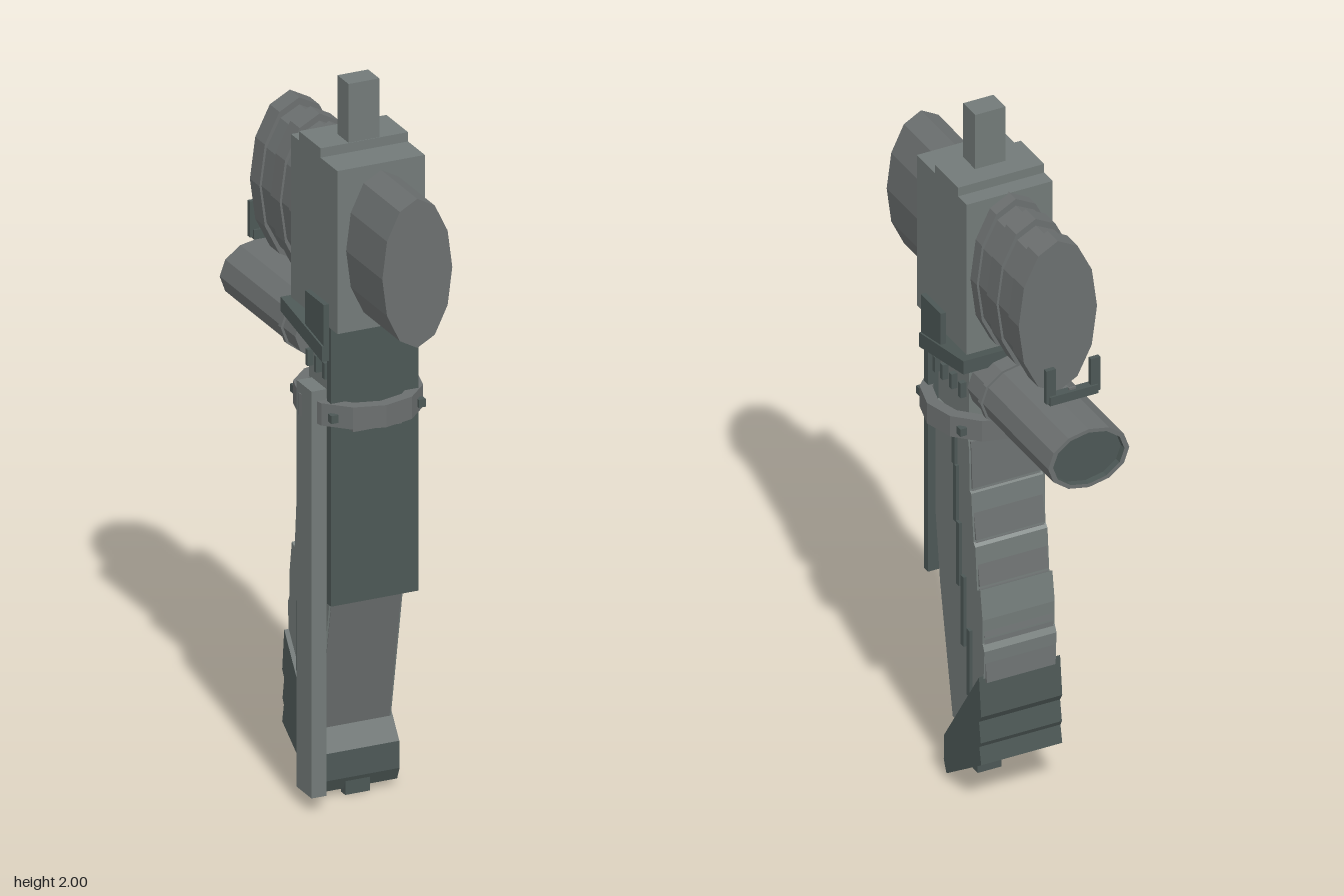
import * as THREE from 'three';

const light = new THREE.MeshStandardMaterial({ color: 0x727a78 });
light.name = 'light grey';
const grey = new THREE.MeshStandardMaterial({ color: 0x6b6f6f });
grey.name = 'mid grey';
const dark = new THREE.MeshStandardMaterial({ color: 0x4c5755 });
dark.name = 'dark green grey';

export function createModel() {
  const root = new THREE.Group();
  root.name = 'device';

  // Faceted mesh
  const add = (name, geometry, material) => {
    const g = geometry.index ? geometry.toNonIndexed() : geometry;
    g.computeVertexNormals();
    const mesh = new THREE.Mesh(g, material);
    mesh.name = name;
    root.add(mesh);
    return mesh;
  };
  // Box from its limits on each axis
  const box = (name, [x0, x1], [y0, y1], [z0, z1], material) =>
    add(name, new THREE.BoxGeometry(x1 - x0, y1 - y0, z1 - z0)
      .translate((x0 + x1) / 2, (y0 + y1) / 2, (z0 + z1) / 2), material);
  // Twelve-sided elliptical drum along z
  const drum = (name, rx, ry, y, z0, z1, material) =>
    add(name, new THREE.CylinderGeometry(1, 1, z1 - z0, 12).rotateX(Math.PI / 2)
      .scale(rx, ry, 1).translate(0, y, (z0 + z1) / 2), material);
  // Side profile of (z, y) points, extruded across x
  const profile = (name, points, halfWidth, material) => {
    const shape = new THREE.Shape(points.map(([z, y]) => new THREE.Vector2(z, y)));
    return add(name, new THREE.ExtrudeGeometry(shape, { depth: 2 * halfWidth, bevelEnabled: false })
      .translate(0, 0, -halfWidth).rotateY(-Math.PI / 2), material);
  };

  // Head: block, lid and top post
  box('headBlock', [-0.125, 0.125], [1.355, 1.81], [-0.025, 0.25], light);
  box('headLid', [-0.125, 0.125], [1.81, 1.836], [0.022, 0.15], light);
  box('topPost', [-0.044, 0.044], [1.836, 2], [0.082, 0.148], light);

  // Front drum and ribbed rear drum
  drum('frontDrum', 0.1, 0.208, 1.583, 0.25, 0.465, grey);
  drum('rearDrum', 0.108, 0.208, 1.583, -0.28, -0.02, grey);
  for (const [z0, z1] of [[-0.06, -0.02], [-0.17, -0.115], [-0.292, -0.235]])
    drum('rearDrumRib', 0.114, 0.228, 1.583, z0, z1, grey);

  // Lower barrel with hollow end
  const lathe = (name, points, material) =>
    add(name, new THREE.LatheGeometry(points.map(([r, z]) => new THREE.Vector2(r, z)), 12)
      .rotateX(Math.PI / 2).scale(0.118, 0.088, 1).translate(0, 1.247, 0), material);
  lathe('barrel', [[0.88, -0.463], [1, -0.463], [1, -0.015], [0, -0.015]], grey);
  lathe('barrelBore', [[0, -0.443], [0.88, -0.443], [0.88, -0.463]], dark);
  drum('barrelCollar', 0.125, 0.094, 1.247, -0.102, -0.086, grey);
  box('barrelPlug', [-0.03, 0.03], [1.175, 1.225], [-0.02, 0.03], grey);

  // Rear sight
  box('sightBase', [-0.07, 0.07], [1.38, 1.406], [-0.383, -0.358], dark);
  for (const s of [-1, 1])
    box('sightPost', [s * 0.065 - 0.014, s * 0.065 + 0.014], [1.385, 1.485], [-0.378, -0.365], dark);
  box('sightNotch', [-0.01, 0.01], [1.406, 1.412], [-0.374, -0.367], grey);

  // Sloping bracket below the head, with side plates
  profile('bracket', [[0.2, 1.262], [-0.045, 1.312], [-0.045, 1.352], [0.2, 1.305]], 0.145, dark);
  for (const s of [-1, 1])
    box('bracketSidePlate', [s * 0.132 - 0.008, s * 0.132 + 0.008], [1.29, 1.42], [0.09, 0.2], dark);
  box('frontPlate', [-0.125, 0.125], [0.58, 1.355], [0.188, 0.212], dark);

  // Neck with pins
  box('neck', [-0.095, 0.095], [1.05, 1.33], [0.02, 0.188], light);
  for (const s of [-1, 1])
    for (const z of [0.183, 0.14, 0.09, 0.04])
      box('neckPin', [s * 0.1 - 0.012, s * 0.1 + 0.012], [1.187, 1.232], [z - 0.007, z + 0.007], dark);

  // Twelve-sided collar ring with rivets
  const polygon = (r) => Array.from({ length: 12 }, (_, i) =>
    new THREE.Vector2(Math.cos(i * Math.PI / 6) * r, Math.sin(i * Math.PI / 6) * r));
  const ringShape = new THREE.Shape(polygon(0.168));
  ringShape.holes.push(new THREE.Path(polygon(0.135)));
  add('collarRing', new THREE.ExtrudeGeometry(ringShape, { depth: 0.062, bevelEnabled: false })
    .rotateX(-Math.PI / 2).translate(0, 1.084, 0.113), grey);
  box('collarTab', [-0.07, 0.07], [1.064, 1.09], [0.18, 0.23], grey);
  for (const sx of [-1, 1])
    for (const sz of [-1, 1])
      box('collarRivet', [sx * 0.125 - 0.01, sx * 0.125 + 0.01], [1.1, 1.122],
        [0.113 + sz * 0.112 - 0.01, 0.113 + sz * 0.112 + 0.01], dark);

  // Grip with a stepped back edge
  profile('grip', [
    [0.185, 1.1], [0.185, 0.76], [0.16, 0.56], [0.09, 0.19], [0, 0.2], [-0.08, 0.38],
    [-0.085, 0.48], [-0.075, 0.5], [-0.075, 0.57], [-0.062, 0.655], [-0.045, 0.645],
    [-0.035, 0.77], [-0.025, 0.78], [-0.012, 0.92], [-0.004, 0.925], [0, 1.05], [0.01, 1.1],
  ], 0.105, light);
  const backEdge = [[0, 1.07], [-0.004, 0.925], [-0.025, 0.78], [-0.045, 0.65], [-0.073, 0.51], [-0.084, 0.38]];
  for (let i = 0; i < 5; i++) {
    const [z0, y0] = backEdge[i], [z1, y1] = backEdge[i + 1];
    profile('gripBackPanel', [[z0 + 0.03, y0], [z1 + 0.03, y1], [z1 - 0.006, y1 + 0.008], [z0 - 0.002, y0]], 0.1, grey);
  }
  profile('gripFrontPanel', [[0.187, 0.76], [0.162, 0.56], [0.092, 0.19], [0.08, 0.19], [0.15, 0.56], [0.175, 0.76]], 0.1, grey);

  // Staggered strips along both grip sides
  const strips = [[0.072, 0.97, 1.07], [0.064, 0.8, 0.97], [0.047, 0.615, 0.805], [0.021, 0.445, 0.655], [-0.011, 0.31, 0.51]];
  for (const s of [-1, 1])
    for (const [z, y0, y1] of strips)
      box('gripStrip', [s * 0.108 - 0.006, s * 0.108 + 0.006], [y0, y1], [z - 0.008, z + 0.008], dark);

  // Grip base with a small front nub
  profile('gripBase', [
    [0.1, 0.015], [0.115, 0.05], [0.113, 0.125], [0.02, 0.26], [-0.08, 0.405], [-0.092, 0.29],
    [-0.08, 0.27], [-0.09, 0.21], [-0.082, 0.195], [-0.092, 0.145],
  ], 0.118, dark);
  box('gripBaseNub', [-0.035, 0.035], [0, 0.04], [0.085, 0.11], dark);

  // Long rail beside the grip
  box('sideRail', [-0.165, -0.122], [0.04, 1.175], [0.092, 0.18], light);

  return root;
}
